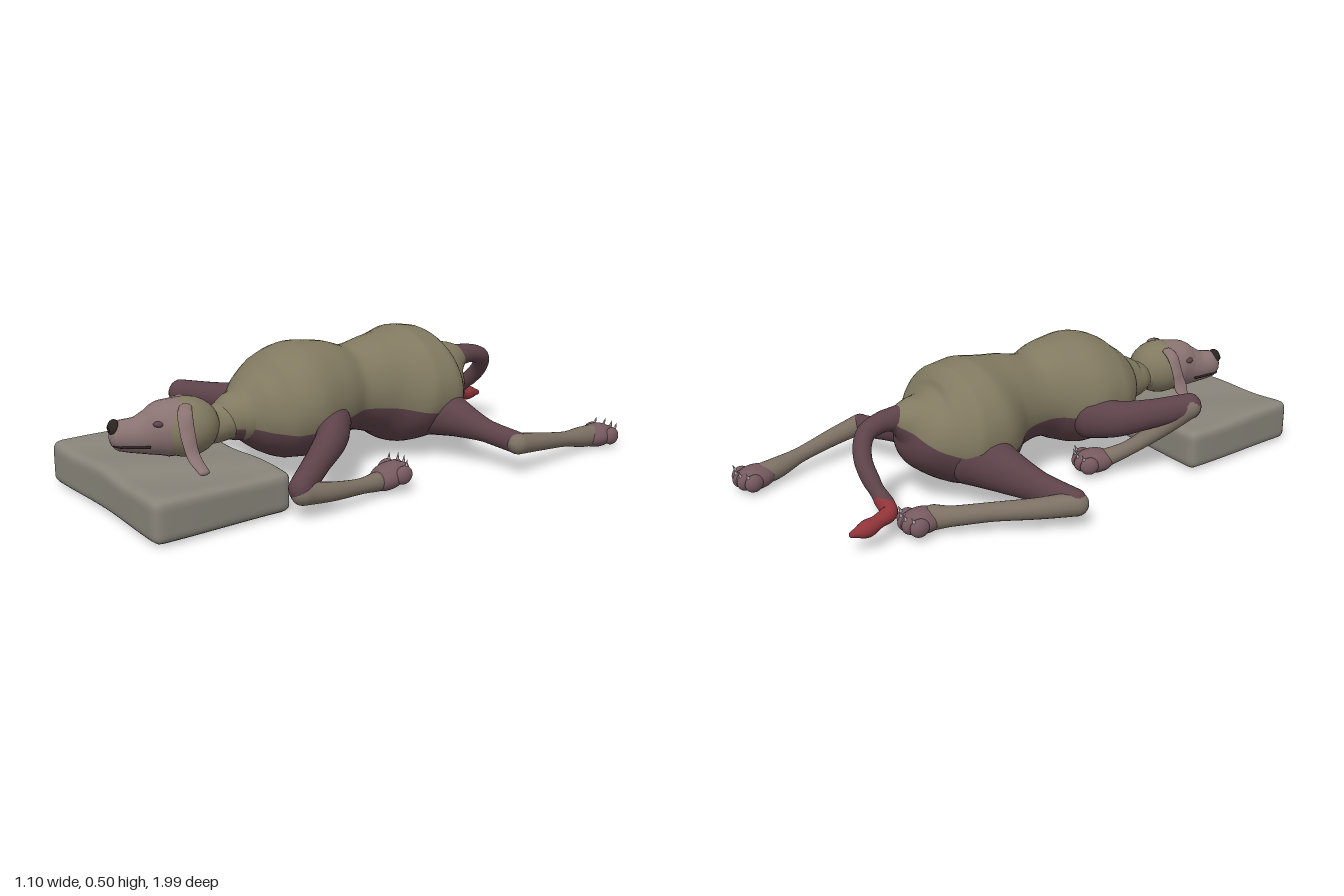
import * as THREE from 'three';
import { mergeVertices } from 'three/addons/utils/BufferGeometryUtils.js';

const mat = (color) => new THREE.MeshStandardMaterial({ color });
const olive = mat(0x817960), purple = mat(0x5d424a), shin = mat(0x7c7063), tailRed = mat(0x8f3439);
const pink = mat(0x8a7272), dark = mat(0x2a2322), pad = mat(0x75595f), cloth = mat(0x88847a), claw = mat(0xb7aab0);
const UP = new THREE.Vector3(0, 1, 0);

// Smooth skin over rows of [x, y, z, sideRadius, upRadius]; with `under`, the lower side takes that material
function loft(name, rows, material, { rings = 32, sides = 24, under = null } = {}) {
  const path = new THREE.CatmullRomCurve3(rows.map((r) => new THREE.Vector3(r[0], r[1], r[2])));
  const radii = new THREE.CatmullRomCurve3(rows.map((r) => new THREE.Vector3(r[3], r[4] ?? r[3], 0)));
  const stations = [];
  for (let k = 0; k < 5; k++) stations.push([0, -1, k / 5]);
  for (let i = 0; i <= rings; i++) stations.push([i / rings, 0, 1]);
  for (let k = 4; k >= 0; k--) stations.push([1, 1, k / 5]);
  const pos = [], top = [], low = [];
  for (const [t, end, k] of stations) {
    const T = path.getTangent(t), R = radii.getPoint(t), c = path.getPoint(t);
    const S = T.clone().cross(UP).normalize(), V = S.clone().cross(T);
    const a = k * Math.PI / 2, s = Math.max(Math.sin(a), 0.01);
    c.addScaledVector(T, end * Math.cos(a) * Math.min(R.x, R.y));
    for (let j = 0; j < sides; j++) {
      const b = (j / sides) * Math.PI * 2;
      const p = c.clone().addScaledVector(S, Math.cos(b) * R.x * s).addScaledVector(V, Math.sin(b) * R.y * s);
      pos.push(p.x, p.y, p.z);
    }
  }
  for (let i = 0; i < stations.length - 1; i++) {
    for (let j = 0; j < sides; j++) {
      const n = (j + 1) % sides, a = i * sides + j, b = i * sides + n;
      const list = under && Math.sin(((j + 0.5) / sides) * Math.PI * 2) < -0.3 ? low : top;
      list.push(a, a + sides, b, b, a + sides, b + sides);
    }
  }
  const g = new THREE.BufferGeometry();
  g.setAttribute('position', new THREE.Float32BufferAttribute(pos, 3));
  g.setIndex([...top, ...low]);
  g.computeVertexNormals();
  if (under) {
    g.addGroup(0, top.length, 0);
    g.addGroup(top.length, low.length, 1);
  }
  const m = new THREE.Mesh(g, under ? [material, under] : material);
  m.name = name;
  return m;
}

function ball(name, x, y, z, rx, ry, rz, material) {
  const m = new THREE.Mesh(new THREE.SphereGeometry(1, 24, 16), material);
  m.name = name;
  m.position.set(x, y, z);
  m.scale.set(rx, ry, rz);
  return m;
}

// Paw with four toes and claws, pointing along its local +z
function paw(name, x, y, z, yaw, pitch = 0) {
  const g = new THREE.Group();
  g.name = name;
  g.add(ball('pawPad', 0, 0, 0, 0.05, 0.038, 0.065, pad));
  for (let i = 0; i < 4; i++) {
    const tx = (i - 1.5) * 0.028, tz = 0.045 - Math.abs(i - 1.5) * 0.012;
    g.add(ball('toe', tx, 0, tz, 0.019, 0.028, 0.03, pad));
    const c = new THREE.Mesh(new THREE.ConeGeometry(0.007, 0.03, 8), claw);
    c.name = 'claw';
    c.position.set(tx, 0.028, tz + 0.02);
    c.rotation.x = 0.4;
    g.add(c);
  }
  g.position.set(x, y, z);
  g.rotation.set(pitch, yaw, 0, 'YXZ');
  g.scale.setScalar(1.2);
  return g;
}

// Cushion: rounded box with soft ripples and a hollow underside
function pillow() {
  const W = 0.388, H = 0.076, D = 0.258, r = 0.03;
  let g = new THREE.BoxGeometry(W * 2, H * 2, D * 2, 40, 12, 30);
  g.deleteAttribute('uv');
  g.deleteAttribute('normal');
  g = mergeVertices(g);
  const p = g.attributes.position, v = new THREE.Vector3(), q = new THREE.Vector3();
  const lim = new THREE.Vector3(W - r, H - r, D - r), neg = lim.clone().negate();
  for (let i = 0; i < p.count; i++) {
    v.fromBufferAttribute(p, i);
    q.copy(v).clamp(neg, lim);
    v.sub(q).normalize().multiplyScalar(r).add(q);
    const ripple = 0.004 * Math.sin(v.x * 17 + v.z * 9);
    if (v.y < -H + 0.005) v.y += 0.08 * Math.max(0, 0.85 - Math.max(Math.abs(v.x) / W, Math.abs(v.z) / D));
    else if (v.y > 0) v.y += ripple - 0.01 * v.x;
    v.z -= 0.006 * Math.cos(v.x * 9) * Math.sign(v.z);
    v.x += ripple;
    p.setXYZ(i, v.x, v.y, v.z);
  }
  g.computeVertexNormals();
  const m = new THREE.Mesh(g, cloth);
  m.name = 'pillow';
  m.position.set(-0.035, 0.083, 0.73);
  return m;
}

function head() {
  const g = new THREE.Group();
  g.name = 'head';
  g.position.set(0, 0.265, 0.675);
  g.rotation.y = -0.35;
  g.add(ball('skull', 0, 0, 0, 0.107, 0.106, 0.12, olive));
  g.add(loft('face', [[0, 0.003, 0.02, 0.1, 0.102], [0, -0.002, 0.08, 0.088, 0.1], [0, -0.012, 0.13, 0.068, 0.08],
    [0, -0.017, 0.175, 0.057, 0.064], [0, -0.015, 0.215, 0.05, 0.057]], pink));
  g.add(ball('nose', 0, 0.014, 0.245, 0.034, 0.03, 0.023, dark));
  for (const s of [-1, 1]) {
    g.add(ball('nostril', s * 0.014, 0.013, 0.263, 0.008, 0.007, 0.005, dark));
    g.add(ball('eyelid', s * 0.064, 0.035, 0.1, 0.02, 0.012, 0.02, purple));
    const mouth = new THREE.CatmullRomCurve3([[0, -0.044, 0.253], [s * 0.03, -0.044, 0.243],
      [s * 0.05, -0.046, 0.19], [s * 0.065, -0.046, 0.13]].map((a) => new THREE.Vector3(...a)));
    const line = new THREE.Mesh(new THREE.TubeGeometry(mouth, 16, 0.005, 6), dark);
    line.name = 'mouthLine';
    g.add(line);
  }
  return g;
}

export function createModel() {
  const model = new THREE.Group();
  model.add(pillow(), head());

  // Trunk with full rump, narrow waist and deep chest
  model.add(loft('body', [
    [0.02, 0.335, -0.57, 0.042, 0.042], [0.015, 0.32, -0.52, 0.085, 0.085], [0.01, 0.285, -0.45, 0.175, 0.16],
    [0.01, 0.27, -0.36, 0.25, 0.215], [0.01, 0.272, -0.25, 0.25, 0.226], [0.015, 0.29, -0.12, 0.18, 0.19],
    [0.01, 0.293, 0, 0.157, 0.163], [0.01, 0.295, 0.1, 0.19, 0.193], [0, 0.285, 0.22, 0.235, 0.213],
    [-0.01, 0.27, 0.32, 0.222, 0.19], [-0.012, 0.265, 0.4, 0.165, 0.142], [-0.012, 0.262, 0.46, 0.095, 0.09]],
  olive, { rings: 66, sides: 40, under: purple }));
  model.add(loft('neck', [[-0.012, 0.265, 0.42, 0.12, 0.11], [-0.015, 0.252, 0.5, 0.085, 0.073],
    [0.005, 0.245, 0.57, 0.068, 0.06], [0, 0.255, 0.63, 0.08, 0.075]], olive));

  // Tail curls to the right and ends in a red tip
  model.add(loft('tail', [[0.02, 0.335, -0.55, 0.046], [0.022, 0.335, -0.62, 0.037], [0.012, 0.31, -0.69, 0.034],
    [-0.035, 0.25, -0.73, 0.032], [-0.1, 0.185, -0.735, 0.031], [-0.17, 0.125, -0.725, 0.031]], purple));
  model.add(loft('tailTip', [[-0.15, 0.14, -0.73, 0.029], [-0.195, 0.108, -0.73, 0.031], [-0.207, 0.092, -0.78, 0.025],
    [-0.212, 0.082, -0.825, 0.031], [-0.208, 0.075, -0.88, 0.012]], tailRed));

  // Drooping ears
  model.add(loft('leftEar', [[0.05, 0.35, 0.7, 0.022, 0.012], [0.09, 0.335, 0.725, 0.026, 0.011],
    [0.125, 0.27, 0.735, 0.027, 0.01], [0.16, 0.205, 0.735, 0.025, 0.01], [0.225, 0.17, 0.735, 0.02, 0.01]], pink));
  model.add(loft('rightEar', [[-0.065, 0.35, 0.66, 0.022, 0.012], [-0.1, 0.335, 0.655, 0.025, 0.011],
    [-0.135, 0.27, 0.655, 0.025, 0.01], [-0.165, 0.205, 0.655, 0.025, 0.01], [-0.215, 0.17, 0.655, 0.022, 0.01]], pink));

  // Front legs, folded back at the elbow
  model.add(loft('leftUpperArm', [[0.17, 0.225, 0.17, 0.07, 0.075], [0.25, 0.2, 0.23, 0.058, 0.065],
    [0.33, 0.155, 0.35, 0.047, 0.05], [0.41, 0.11, 0.475, 0.042, 0.048]], purple));
  model.add(loft('leftForearm', [[0.415, 0.095, 0.47, 0.042], [0.42, 0.078, 0.36, 0.034],
    [0.4, 0.06, 0.22, 0.028], [0.38, 0.052, 0.13, 0.035]], shin));
  model.add(paw('leftFrontPaw', 0.37, 0.06, 0.07, Math.PI, -0.3));
  model.add(loft('rightUpperArm', [[-0.17, 0.225, 0.17, 0.07, 0.085], [-0.25, 0.225, 0.23, 0.058, 0.07],
    [-0.32, 0.24, 0.35, 0.05, 0.055], [-0.39, 0.262, 0.475, 0.043, 0.05]], purple));
  model.add(loft('rightForearm', [[-0.39, 0.26, 0.47, 0.045], [-0.34, 0.185, 0.39, 0.036],
    [-0.27, 0.1, 0.28, 0.029], [-0.22, 0.06, 0.21, 0.035]], shin));
  model.add(paw('rightFrontPaw', -0.2, 0.055, 0.17, Math.PI - 0.4));

  // Hind legs, splayed out with one stretched back
  model.add(loft('leftThigh', [[0.16, 0.19, -0.33, 0.11, 0.11], [0.27, 0.165, -0.36, 0.065, 0.07],
    [0.38, 0.135, -0.405, 0.041, 0.043], [0.505, 0.118, -0.435, 0.036, 0.042]], purple));
  model.add(loft('leftHindShin', [[0.51, 0.118, -0.43, 0.04], [0.5, 0.1, -0.55, 0.034],
    [0.48, 0.075, -0.7, 0.029], [0.46, 0.056, -0.82, 0.04], [0.455, 0.05, -0.88, 0.042]], shin));
  model.add(paw('leftHindPaw', 0.455, 0.047, -0.91, Math.PI + 0.05));
  model.add(loft('rightThigh', [[-0.14, 0.19, -0.32, 0.12, 0.12], [-0.25, 0.155, -0.28, 0.075, 0.085],
    [-0.37, 0.115, -0.215, 0.047, 0.057], [-0.5, 0.095, -0.165, 0.04, 0.05]], purple));
  model.add(loft('rightHindShin', [[-0.505, 0.092, -0.165, 0.044], [-0.445, 0.085, -0.28, 0.038],
    [-0.35, 0.075, -0.42, 0.034], [-0.28, 0.065, -0.53, 0.036], [-0.24, 0.06, -0.58, 0.045]], shin));
  model.add(paw('rightHindPaw', -0.225, 0.055, -0.62, Math.PI - 0.1));
  return model;
}
